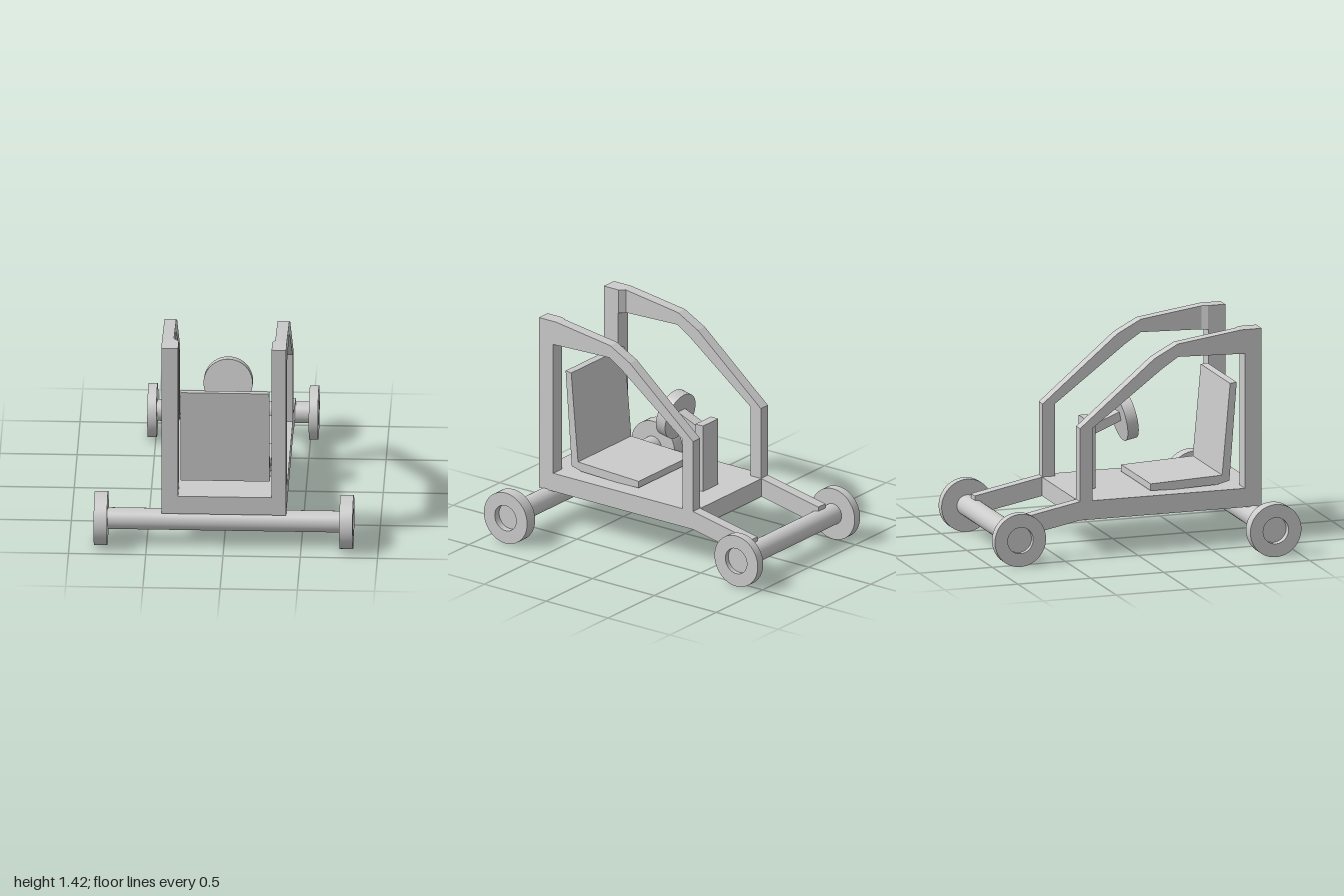
import * as THREE from 'three';
import { toCreasedNormals } from 'three/addons/utils/BufferGeometryUtils.js';

const material = new THREE.MeshStandardMaterial({ color: 0xcccccc });
const points = (list) => list.map(([a, b]) => new THREE.Vector2(a, b));

// Extrudes a side profile given as [z, y] points from x0 to x1
function sideExtrude(outline, x0, x1, hole) {
  const shape = new THREE.Shape(points(outline));
  if (hole) shape.holes.push(new THREE.Path(points(hole)));
  return new THREE.ExtrudeGeometry(shape, { depth: x1 - x0, bevelEnabled: false })
    .rotateY(-Math.PI / 2).translate(x1, 0, 0);
}

// Extrudes a plan profile given as [x, z] points from y0 to y1
function planExtrude(outline, y0, y1) {
  const shape = new THREE.Shape(points(outline.map(([x, z]) => [x, -z])));
  return new THREE.ExtrudeGeometry(shape, { depth: y1 - y0, bevelEnabled: false })
    .rotateX(-Math.PI / 2).translate(0, y0, 0);
}

function boxBetween(x0, x1, y0, y1, z0, z1) {
  return new THREE.BoxGeometry(x1 - x0, y1 - y0, z1 - z0)
    .translate((x0 + x1) / 2, (y0 + y1) / 2, (z0 + z1) / 2);
}

// Wheel with a round recess in its outer face, lying along +x or -x
function wheelGeometry(width, side) {
  const R = 0.175, r = 0.087, floor = width * 0.45;
  const profile = points([[0, 0], [R, 0], [R, width], [r, width], [r, floor], [0, floor]]);
  const lathe = new THREE.LatheGeometry(profile, 48).rotateZ(-side * Math.PI / 2);
  return toCreasedNormals(lathe, 0.6);
}

export function createModel() {
  const model = new THREE.Group();
  model.name = 'buggy';
  const add = (name, geometry, parent = model) => {
    const mesh = new THREE.Mesh(geometry, material);
    mesh.name = name;
    parent.add(mesh);
    return mesh;
  };

  // Floor between the two side frames
  add('floor', boxBetween(-0.33, 0.33, 0.24, 0.365, -0.37, 0.88));

  // Side frames: sill, posts, sloping roof rail and axle arm in one profile
  const outer = [[0.88, 0.24], [0.88, 1.42], [0.74, 1.42], [0.305, 1.36], [0.145, 1.275],
    [-0.365, 0.85], [-0.365, 0.365], [-0.83, 0.275], [-0.83, 0.15], [-0.365, 0.24]];
  const opening = [[0.765, 0.365], [0.765, 1.26], [0.308, 1.275], [0.2, 1.205],
    [-0.28, 0.845], [-0.28, 0.365]];
  for (const side of [1, -1]) {
    const frame = new THREE.Group();
    frame.name = side > 0 ? 'leftFrame' : 'rightFrame';
    model.add(frame);
    const out = 0.404, rail = 0.328, post = side > 0 ? 0.31 : 0.295;
    const [x0, x1] = side > 0 ? [rail, out] : [-out, -rail];
    add('sideFrame', sideExtrude(outer, x0, x1, opening), frame);

    // Inner thickening of the tall post, with a chamfer where the rail meets it
    const [p0, p1] = side > 0 ? [post, rail] : [-rail, -post];
    add('postInner', boxBetween(p0, p1, 0.365, 1.26, 0.765, 0.88), frame);
    add('postHead', planExtrude([[side * rail, 0.88], [side * post, 0.88],
      [side * post, 0.76], [side * rail, 0.725]], 1.26, 1.42), frame);
  }

  // Axles with their wheels: the front pair is wider
  for (const [name, z, half, wheelX, width] of [
    ['front', 0.825, 0.77, 0.752, 0.086], ['back', -0.825, 0.51, 0.493, 0.059]]) {
    const axle = new THREE.CylinderGeometry(0.07, 0.07, half * 2, 40).rotateZ(Math.PI / 2);
    add(name + 'Axle', axle).position.set(0, 0.176, z);
    for (const side of [1, -1]) {
      const wheel = add(name + (side > 0 ? 'LeftWheel' : 'RightWheel'), wheelGeometry(width, side));
      wheel.position.set(side * wheelX, 0.175, z);
    }
  }

  // Seat cushion and reclined back
  add('seat', sideExtrude([[0.75, 1.045], [0.705, 1.04], [0.65, 0.435], [0.16, 0.415],
    [0.16, 0.37], [0.33, 0.366], [0.62, 0.375], [0.70, 0.395]], -0.285, 0.29));

  // Steering: upright, column and tilted wheel
  add('steeringPost', boxBetween(-0.082, 0.082, 0.365, 0.82, -0.205, -0.145));
  add('steeringColumn', sideExtrude([[0.06, 0.86], [-0.15, 0.776], [-0.15, 0.711],
    [0.06, 0.797]], -0.04, 0.04));
  const steeringWheel = add('steeringWheel',
    new THREE.CylinderGeometry(0.159, 0.159, 0.076, 48).rotateX(Math.PI / 2));
  steeringWheel.position.set(0, 0.812, 0.0775);
  steeringWheel.rotation.x = -0.2;

  return model;
}
